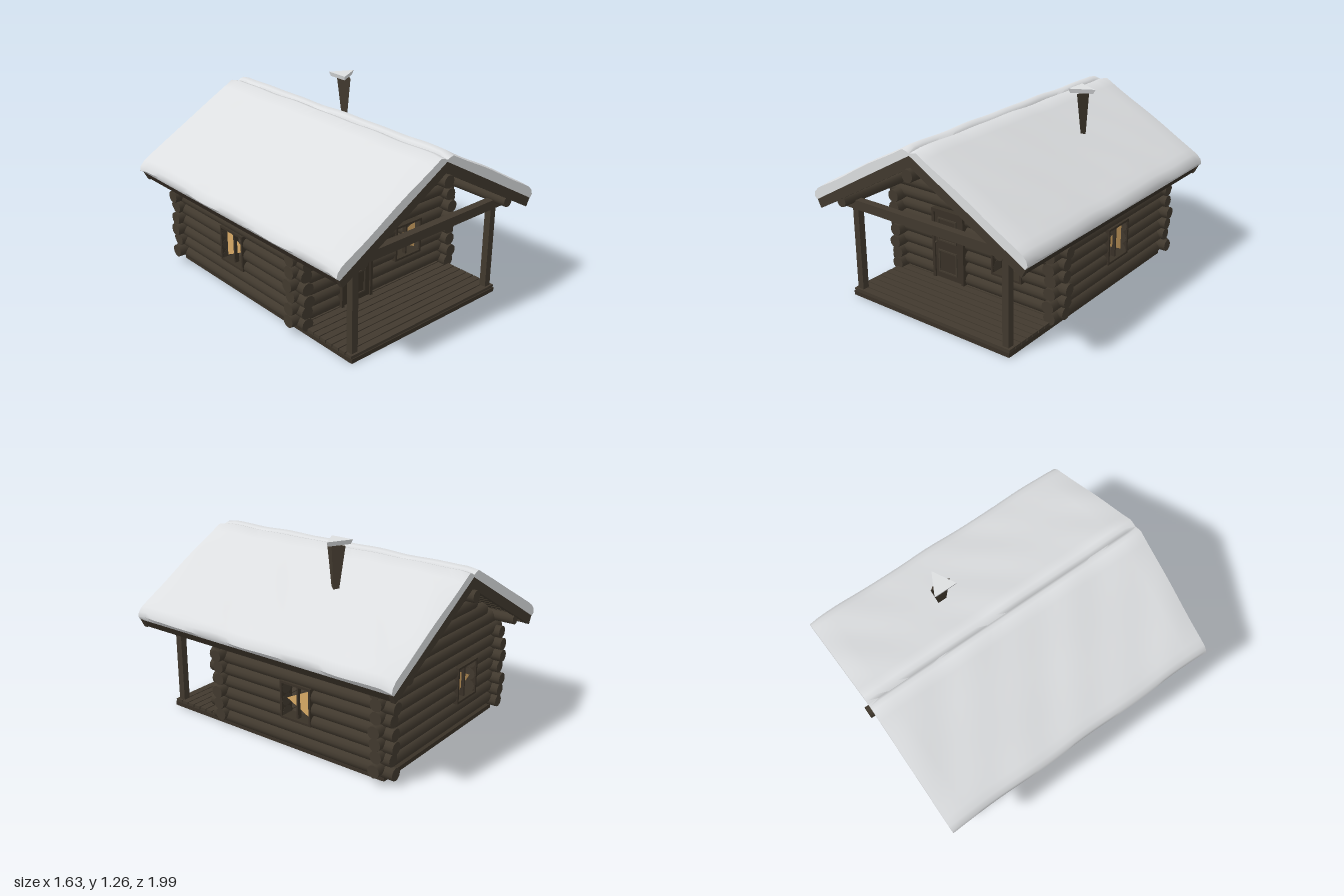
import * as THREE from 'three';
import { toCreasedNormals } from 'three/addons/utils/BufferGeometryUtils.js';

const mat = (name, color, side = THREE.FrontSide) => {
  const m = new THREE.MeshStandardMaterial({ color, side });
  m.name = name;
  return m;
};

export function createModel() {
  const wood = mat('log wood', 0x41392e);
  const trim = mat('trim wood', 0x393127);
  const snow = mat('snow', 0xdcdee0);
  const amber = mat('lit glass', 0xd9aa66, THREE.DoubleSide);

  const root = new THREE.Group();
  root.name = 'logCabin';
  const group = (name) => {
    const g = new THREE.Group();
    g.name = name;
    root.add(g);
    return g;
  };
  const add = (parent, name, geo, material, x = 0, y = 0, z = 0) => {
    const m = new THREE.Mesh(geo, material);
    m.name = name;
    m.position.set(x, y, z);
    parent.add(m);
    return m;
  };
  const box = (parent, name, material, w, h, d, x, y, z) =>
    add(parent, name, new THREE.BoxGeometry(w, h, d), material, x, y, z);

  // A log lying along x or z between a and b; off is its place on the other axis
  const log = (parent, name, axis, a, b, y, off, r = 0.042) => {
    const geo = new THREE.CylinderGeometry(r, r * 0.95, b - a, 12);
    const mid = (a + b) / 2;
    if (axis === 'x') add(parent, name, geo.rotateZ(Math.PI / 2), wood, mid, y, off);
    else add(parent, name, geo.rotateX(Math.PI / 2), wood, off, y, mid);
  };

  // Log walls, cut where a window sits
  const FRONT = 0.41, BACK = -0.78, SIDE = 0.61, HALF = 0.1, WINY = 0.325;
  const wall = (name, axis, off, a, b, y0, win) => {
    const g = group(name);
    for (let i = 0; i < 7; i++) {
      const y = y0 + i * 0.08;
      const s = a + 0.012 * Math.sin(i * 2.3 + off * 9);
      const e = b + 0.012 * Math.cos(i * 1.9 + off * 7);
      if (Math.abs(y - WINY) < 0.11) {
        log(g, 'wallLog', axis, s, win - HALF, y, off);
        log(g, 'wallLog', axis, win + HALF, e, y, off);
      } else log(g, 'wallLog', axis, s, e, y, off);
    }
    return g;
  };
  const ends = [
    wall('frontWall', 'x', FRONT, -0.685, 0.685, 0.09, 0.263),
    wall('backWall', 'x', BACK, -0.685, 0.685, 0.09, -0.25),
  ];
  for (const s of [-1, 1]) wall(s > 0 ? 'leftWall' : 'rightWall', 'z', s * SIDE, -0.87, 0.5, 0.07, -0.19);

  // Gable logs get shorter under the roof slope
  ends.forEach((g, k) => {
    for (let y = 0.65; y < 0.97; y += 0.078) {
      const h = Math.min(0.64, (1.0 - y) / 0.57);
      log(g, 'gableLog', 'x', -h, h, y, k ? BACK : FRONT);
    }
  });

  // Windows: frame, mullion and a three-cornered lit pane whose tip points to -x (local)
  const windowAt = (name, x, z, rotation, flip) => {
    const g = group(name);
    g.position.set(x, WINY, z);
    g.rotation.y = rotation;
    for (const s of [-1, 1]) {
      box(g, 'frameSide', trim, 0.014, 0.23, 0.094, s * 0.108, 0, 0);
      box(g, 'frameRail', trim, 0.23, 0.014, 0.094, 0, s * 0.113, 0);
    }
    box(g, 'mullion', trim, 0.012, 0.216, 0.03, 0, 0, 0.01);
    const pane = new THREE.Shape([[-0.095, 0], [0.097, -0.095], [0.097, 0.095]]
      .map(([px, py]) => new THREE.Vector2(px * flip, py)));
    add(g, 'pane', new THREE.ShapeGeometry(pane), amber, 0, 0, 0.005);
  };
  windowAt('frontWindow', 0.263, FRONT, 0, 1);
  windowAt('backWindow', -0.25, BACK, Math.PI, -1);
  windowAt('leftWindow', SIDE, -0.19, Math.PI / 2, 1);
  windowAt('rightWindow', -SIDE, -0.19, -Math.PI / 2, -1);

  // Panelled door
  const door = group('door');
  box(door, 'doorLeaf', trim, 0.215, 0.455, 0.06, -0.19, 0.29, 0.43);
  for (const s of [-1, 1]) box(door, 'doorPost', trim, 0.02, 0.475, 0.08, -0.19 + s * 0.117, 0.295, 0.43);
  box(door, 'doorLintel', trim, 0.254, 0.02, 0.08, -0.19, 0.525, 0.43);
  for (const y of [0.18, 0.4]) {
    for (const s of [-1, 1]) {
      box(door, 'panelStile', wood, 0.01, 0.155, 0.008, -0.195 + s * 0.07, y, 0.463);
      box(door, 'panelRail', wood, 0.15, 0.01, 0.008, -0.195, y + s * 0.074, 0.463);
    }
  }
  add(door, 'doorKnob', new THREE.SphereGeometry(0.009, 10, 8), wood, -0.285, 0.305, 0.468);

  // Floor boards over long joists
  const floor = group('floor');
  const boards = 30, pitch = 1.66 / boards;
  for (let i = 0; i < boards; i++) {
    const porch = i >= 22;
    box(floor, 'floorBoard', wood, porch ? 1.23 : 1.2, 0.02, pitch - 0.007, 0, 0.037, -0.78 + (i + 0.5) * pitch);
  }
  for (const x of [-0.59, -0.3, 0, 0.3, 0.59]) box(floor, 'joist', trim, 0.05, 0.028, 1.66, x, 0.014, 0.04);
  for (const z of [-0.78, 0.41, 0.86]) box(floor, 'sill', trim, 1.23, 0.028, 0.045, 0, 0.015, z);

  // Porch posts and cross beam
  const porch = group('porch');
  for (const s of [-1, 1]) box(porch, 'post', wood, 0.045, 0.58, 0.045, s * 0.575, 0.33, 0.84);
  box(porch, 'crossBeam', wood, 1.3, 0.06, 0.05, 0, 0.62, 0.84);

  // Roof timbers
  const roof = group('roof');
  const SLOPE = 0.57, angle = Math.atan(SLOPE);
  log(roof, 'ridgeLog', 'z', -0.995, 0.995, 0.975, 0, 0.04);
  for (const s of [-1, 1]) {
    log(roof, 'eaveLog', 'z', -0.95, 0.95, 0.66, s * 0.6, 0.036);
    for (let i = 0; i < 13; i++) {
      const x = 0.03 + i * 0.0605;
      const b = box(roof, 'roofBoard', wood, 0.05, 0.018, 1.9, s * x, 1.075 - SLOPE * x, 0);
      b.rotation.z = -s * angle;
    }
    const eave = box(roof, 'eaveBoard', trim, 0.018, 0.06, 1.93, s * 0.768, 0.617, 0);
    eave.rotation.z = -s * angle;
  }
  const chevron = new THREE.Shape([
    [0, 1.09], [-0.793, 0.638], [-0.765, 0.583], [0, 1.017], [0.765, 0.583], [0.793, 0.638],
  ].map((p) => new THREE.Vector2(...p)));
  const gableGeo = new THREE.ExtrudeGeometry(chevron, { depth: 0.03, bevelEnabled: false });
  for (const z of [-0.968, 0.938]) add(roof, 'gableBoard', gableGeo, wood, 0, 0, z);

  // Snow blanket on each slope, lofted along z with a soft ripple
  const snowSide = (s) => {
    const top = [[0.81, 0.665], [0.803, 0.695], [0.775, 0.725]];
    for (let i = 0; i <= 10; i++) top.push([0.73 - 0.068 * i, 0.752 + 0.0378 * i]);
    const prof = [[0, 1.088], [0.4, 0.86], [0.79, 0.636], ...top, [0.02, 1.122], [0, 1.1]];
    const N = prof.length, M = 28, pos = [], idx = [];
    const tri = (a, b, c) => (s > 0 ? idx.push(a, b, c) : idx.push(a, c, b));
    for (let i = 0; i <= M; i++) {
      const z = -0.972 + (1.944 * i) / M;
      const edge = i === 0 || i === M ? 0.012 : 0;
      prof.forEach(([x, y], j) => {
        const soft = j > 2 && j < N - 1 ? 1 : 0;
        const n = Math.sin(z * 7 + x * 5 * s) * Math.sin(x * 9 + z * 3 + s) + 0.5 * Math.sin(z * 17 + x * 11);
        const rim = x > 0.7 && soft ? 0.004 * Math.sin(z * 9 + s * 2) : 0;
        pos.push(s * (x + rim), y + soft * (0.004 * n - edge), z);
      });
    }
    for (let i = 0; i < M; i++) {
      for (let j = 0; j < N; j++) {
        const a = i * N + j, b = i * N + ((j + 1) % N);
        tri(a, b, b + N);
        tri(a, b + N, a + N);
      }
    }
    // End caps, fanned from a middle point
    for (const i of [0, M]) {
      const c = pos.length / 3;
      pos.push(s * 0.4, 0.895, i ? 0.972 : -0.972);
      for (let j = 0; j < N; j++) {
        const a = i * N + j, b = i * N + ((j + 1) % N);
        i ? tri(c, a, b) : tri(c, b, a);
      }
    }
    const geo = new THREE.BufferGeometry();
    geo.setAttribute('position', new THREE.Float32BufferAttribute(pos, 3));
    geo.setIndex(idx);
    add(roof, s > 0 ? 'leftSnow' : 'rightSnow', toCreasedNormals(geo, 0.8), snow);
  };
  snowSide(1);
  snowSide(-1);

  // Three-sided chimney, narrow at its foot, with a snow cap
  const chimney = group('chimney');
  const prism = (name, material, rTop, rBottom, h, sx, sz, x, y) => {
    const geo = new THREE.CylinderGeometry(rTop, rBottom, h, 3).rotateY(Math.PI / 2).scale(sx, 1, sz).toNonIndexed();
    geo.computeVertexNormals();
    add(chimney, name, geo, material, x, y, -0.243);
  };
  prism('flue', wood, 0.078, 0.028, 0.29, 0.38, 1, 0.342, 1.085);
  prism('snowCap', snow, 0.094, 0.08, 0.028, 1.05, 0.95, 0.318, 1.244);

  return root;
}
